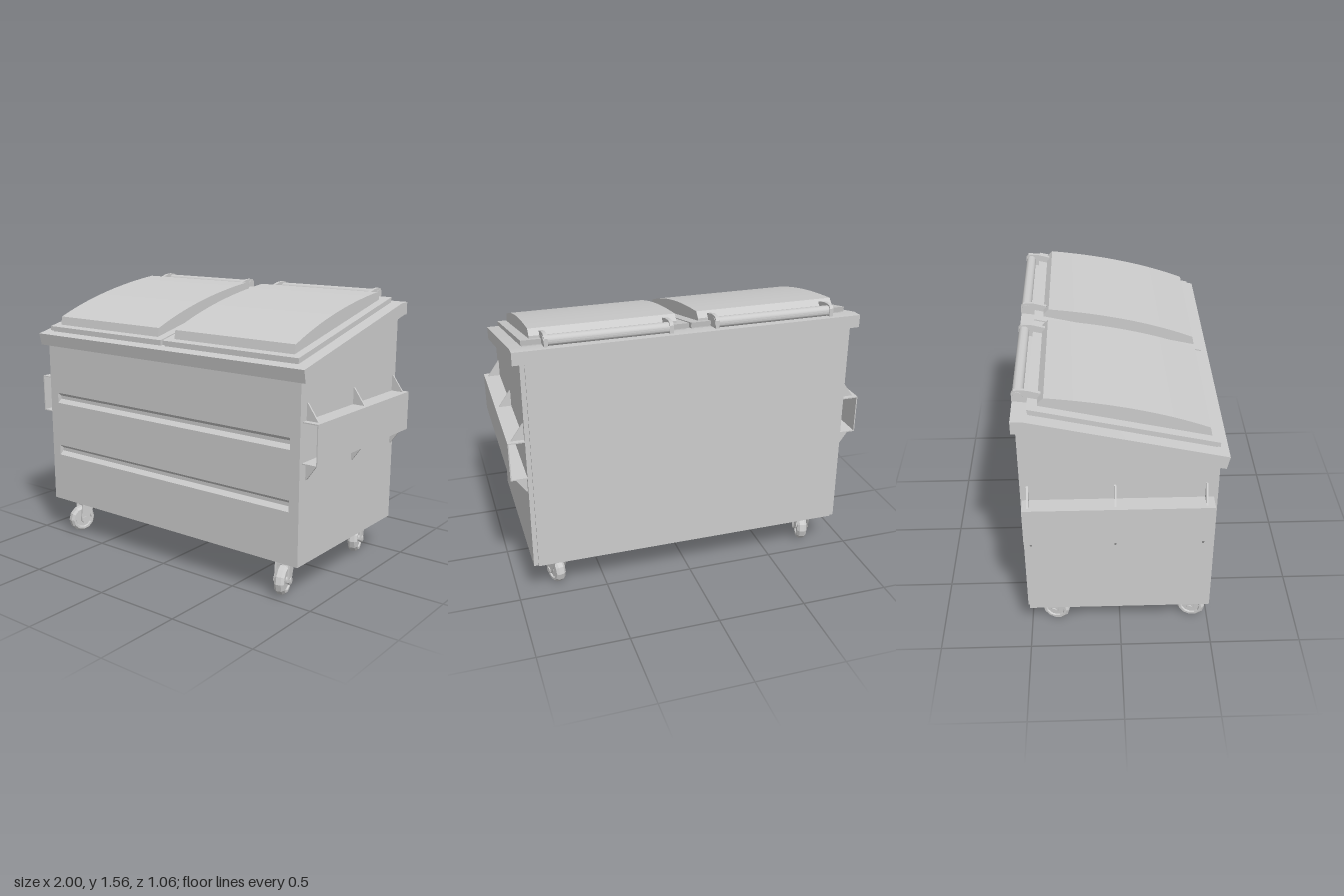
import * as THREE from 'three';
import { toCreasedNormals } from 'three/addons/utils/BufferGeometryUtils.js';

const grey = new THREE.MeshStandardMaterial({ color: 0xcccccc });
const sheet = new THREE.MeshStandardMaterial({ color: 0xcccccc, side: THREE.DoubleSide });

function add(parent, name, geometry, x = 0, y = 0, z = 0, material = grey) {
  const mesh = new THREE.Mesh(geometry, material);
  mesh.name = name;
  mesh.position.set(x, y, z);
  parent.add(mesh);
  return mesh;
}

// Side profile of [z, y] points, extruded from x0 to x1
function slab(points, x0, x1) {
  const shape = new THREE.Shape(points.map(([z, y]) => new THREE.Vector2(z, y)));
  const geo = new THREE.ExtrudeGeometry(shape, { depth: x1 - x0, bevelEnabled: false });
  geo.rotateY(-Math.PI / 2).translate(x1, 0, 0);
  return toCreasedNormals(geo, 0.4);
}

// Cylinder lying along x
const rod = (r, length, sides = 20) =>
  toCreasedNormals(new THREE.CylinderGeometry(r, r, length, sides).rotateZ(Math.PI / 2), 0.6);

function buildBody(root) {
  const body = new THREE.Group();
  body.name = 'body';
  // Front edge runs upward with two folded grooves; the floor sits above a thin lip
  const front = [[0.49, 0.21]];
  for (const y of [0.5, 0.83]) {
    front.push([0.49, y], [0.465, y + 0.022], [0.465, y + 0.042], [0.49, y + 0.063]);
  }
  const floor = [[-0.51, 0.21], [-0.49, 0.21], [-0.49, 0.225], [0.47, 0.225], [0.47, 0.21]];
  add(body, 'mainShell', slab([...front, [0.49, 1.22], [-0.51, 1.44], ...floor], -0.85, 0.85));
  for (const s of [-1, 1]) {
    const span = (a, b) => (s > 0 ? [a, b] : [-b, -a]);
    add(body, 'cornerPost', slab([[0.49, 1.22], [-0.51, 1.44], ...floor, [0.49, 0.21]], ...span(0.85, 0.885)));
    add(body, 'sideWall', slab([[0.49, 0.21], [0.49, 1.22], [-0.5, 1.44], [-0.5, 0.21]], ...span(0.885, 0.91)));
  }
  // Sloping rim with an upright back edge
  add(body, 'rim', slab([[0.515, 1.185], [0.53, 1.255], [-0.46, 1.482], [-0.527, 1.485],
    [-0.527, 1.415], [-0.5, 1.415]], -0.95, 0.95));
  root.add(body);
}

function buildLid(side) {
  const lid = new THREE.Group();
  lid.name = side > 0 ? 'leftLid' : 'rightLid';
  const span = (a, b) => (side > 0 ? [a, b] : [-b, -a]);
  add(lid, 'lidSeal', slab([[0.475, 1.255], [0.475, 1.285], [-0.435, 1.495], [-0.435, 1.46]], ...span(0.015, 0.88)));
  add(lid, 'lidPlate', slab([[0.488, 1.275], [0.488, 1.3], [-0.45, 1.514], [-0.445, 1.485]], ...span(0.006, 0.89)));
  // Crowned panel, curved front to back
  const crown = new THREE.QuadraticBezierCurve(
    new THREE.Vector2(0.44, 1.357), new THREE.Vector2(0.1, 1.495), new THREE.Vector2(-0.37, 1.545));
  const profile = crown.getPoints(16).map((p) => [p.x, p.y]);
  add(lid, 'lidCrown', slab([[0.453, 1.295], ...profile, [-0.4, 1.515], [-0.4, 1.49]], ...span(0.06, 0.84)));
  // Hinge bar held by two arms
  add(lid, 'hingeBar', rod(0.028, 0.64), side * 0.45, 1.52, -0.497);
  for (const x of [0.125, 0.775]) {
    add(lid, 'hingeArm', slab([[-0.527, 1.495], [-0.527, 1.538], [-0.515, 1.552], [-0.495, 1.556],
      [-0.45, 1.553], [-0.385, 1.535], [-0.385, 1.495], [-0.45, 1.485]], side * x - 0.01, side * x + 0.01));
    add(lid, 'hingePin', rod(0.025, 0.026), side * x, 1.52, -0.497);
  }
  return lid;
}

function buildPocket(side) {
  const pocket = new THREE.Group();
  pocket.name = side > 0 ? 'leftLiftPocket' : 'rightLiftPocket';
  // Thin channel open at both ends
  for (const y of [0.763, 0.977]) {
    add(pocket, 'pocketFlange', new THREE.BoxGeometry(0.09, 0.006, 0.97), side * 0.955, y, -0.015, sheet);
  }
  add(pocket, 'pocketFace', new THREE.BoxGeometry(0.006, 0.22, 0.97), side * 0.997, 0.87, -0.015, sheet);
  // Triangular gussets above and below
  for (const z of [0.43, -0.03, -0.47]) {
    for (const d of [-1, 1]) {
      const y = 0.87 + d * 0.108;
      const tri = new THREE.Shape([
        new THREE.Vector2(side * 0.905, y), new THREE.Vector2(side * 0.98, y),
        new THREE.Vector2(side * 0.915, y + d * 0.092), new THREE.Vector2(side * 0.905, y + d * 0.092)]);
      add(pocket, 'gusset', new THREE.ExtrudeGeometry(tri, { depth: 0.01, bevelEnabled: false }), 0, 0, z - 0.005);
    }
  }
  return pocket;
}

function buildCaster(x, z) {
  const caster = new THREE.Group();
  caster.name = 'caster';
  caster.position.set(x, 0, z);
  add(caster, 'mountPlate', new THREE.BoxGeometry(0.1, 0.03, 0.1), 0, 0.197, 0);
  // Swivelled fork and wheel
  const swivel = new THREE.Group();
  swivel.name = 'swivelFork';
  swivel.rotation.y = Math.sign(x) * 0.28;
  add(swivel, 'forkCrown', new THREE.BoxGeometry(0.084, 0.014, 0.08), 0, 0.176, 0);
  for (const s of [-1, 1]) {
    add(swivel, 'forkArm', slab([[-0.04, 0.183], [-0.04, 0.165], [0.005, 0.075], [0.018, 0.06],
      [0.04, 0.06], [0.052, 0.075], [0.05, 0.1], [0.04, 0.183]], s * 0.037 - 0.005, s * 0.037 + 0.005));
  }
  const profile = [[0, -0.02], [0.05, -0.02], [0.055, -0.028], [0.068, -0.028], [0.08, -0.014],
    [0.08, 0.014], [0.068, 0.028], [0.055, 0.028], [0.05, 0.02], [0, 0.02]];
  const wheel = new THREE.LatheGeometry(profile.map(([r, h]) => new THREE.Vector2(r, h)), 12);
  add(swivel, 'wheel', toCreasedNormals(wheel.rotateZ(Math.PI / 2), 0.4), 0, 0.08, 0.029);
  add(swivel, 'axle', rod(0.018, 0.096, 12), 0, 0.08, 0.029);
  caster.add(swivel);
  return caster;
}

export function createModel() {
  const root = new THREE.Group();
  root.name = 'wheeledWasteContainer';
  buildBody(root);
  for (const side of [-1, 1]) {
    root.add(buildLid(side), buildPocket(side));
    for (const z of [0.38, -0.39]) root.add(buildCaster(side * 0.76, z));
  }
  return root;
}
